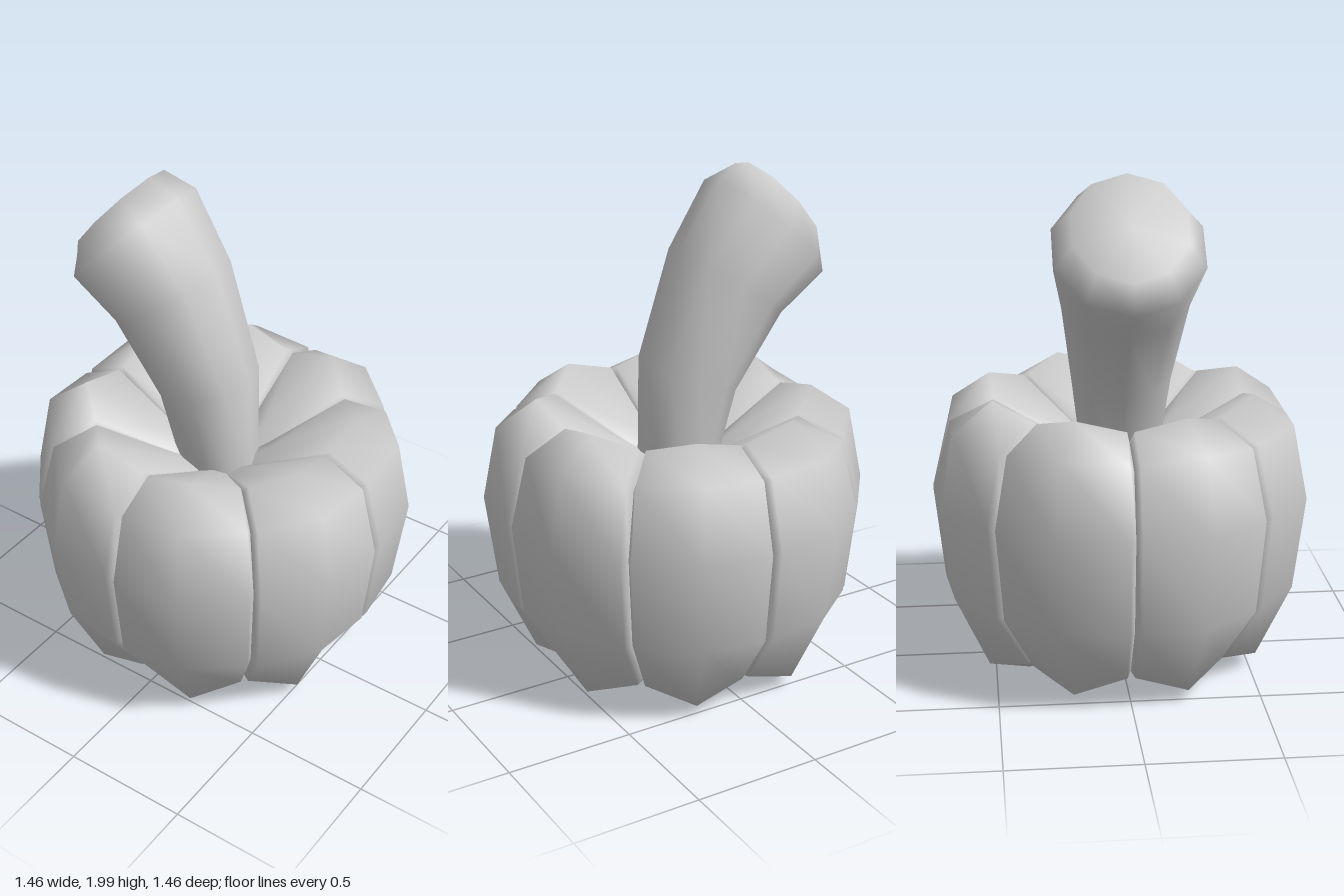
import * as THREE from 'three';
import { mergeVertices } from 'three/addons/utils/BufferGeometryUtils.js';

const material = new THREE.MeshStandardMaterial({ color: 0xcccccc });
const rad = THREE.MathUtils.degToRad;

// Smooth skin over a grid of points, welding seams and poles.
function skin(rows) {
  const cols = rows[0].length;
  const index = [];
  for (let i = 0; i < rows.length - 1; i++) {
    for (let j = 0; j < cols - 1; j++) {
      const a = i * cols + j, b = a + cols;
      if (rows[i][j].distanceTo(rows[i][j + 1]) > 1e-5) index.push(a, b + 1, a + 1);
      if (rows[i + 1][j].distanceTo(rows[i + 1][j + 1]) > 1e-5) index.push(a, b, b + 1);
    }
  }
  const raw = new THREE.BufferGeometry().setFromPoints(rows.flat());
  raw.setIndex(index);
  const geometry = mergeVertices(raw, 1e-4);
  geometry.computeVertexNormals();
  return geometry;
}

// Profiles of one lobe as [radius, height], from the top dip to the underside.
const ridge = [[0, .8], [.2, .93], [.54, 1.13], [.7, 1.02], [.757, .73], [.71, .36], [.57, .06], [.4, .01], [0, .1]];
const shoulder = [[0, .8], [.19, .9], [.49, 1.08], [.66, 1], [.73, .73], [.69, .36], [.53, .12], [.37, .08], [0, .1]];
const groove = [[0, .8], [.18, .87], [.45, 1.02], [.61, .97], [.69, .73], [.65, .36], [.5, .14], [.36, .1], [0, .1]];

function lobeGeometry() {
  const columns = [[groove, -22.5], [shoulder, -20.9], [ridge, 0], [shoulder, 20.9], [groove, 22.5]];
  return skin(ridge.map((_, i) => columns.map(([profile, degrees]) => {
    const [r, y] = profile[i], a = rad(degrees);
    return new THREE.Vector3(r * Math.sin(a), y, r * Math.cos(a));
  })));
}

// Bent stem: rings of [centre x, centre y, radius, tilt in degrees].
function stemGeometry(sides = 10) {
  const rings = [
    [0, .8, .15, 10], [-.055, 1.195, .2, 22], [-.225, 1.545, .25, 35],
    [-.4, 1.74, .29, 45], [-.46, 1.825, .22, 52], [-.465, 1.829, 0, 52],
  ];
  return skin(rings.map(([x, y, r, degrees]) => {
    const tilt = rad(degrees);
    return Array.from({ length: sides + 1 }, (_, j) => {
      const t = (j % sides) / sides * Math.PI * 2;
      const u = r * Math.cos(t);
      return new THREE.Vector3(x + u * Math.cos(tilt), y + u * Math.sin(tilt), r * Math.sin(t));
    });
  }));
}

export function createModel() {
  const model = new THREE.Group();
  model.name = 'pumpkin';

  // Eight equal lobes around the axis
  const body = new THREE.Group();
  body.name = 'body';
  const lobe = lobeGeometry();
  for (let k = 0; k < 8; k++) {
    const mesh = new THREE.Mesh(lobe, material);
    mesh.name = `lobe${k + 1}`;
    mesh.rotation.y = rad(22.5 + 45 * k);
    body.add(mesh);
  }

  // Stem leaning to one side, wider at its cut end
  const stem = new THREE.Mesh(stemGeometry(), material);
  stem.name = 'stem';

  model.add(body, stem);
  return model;
}
